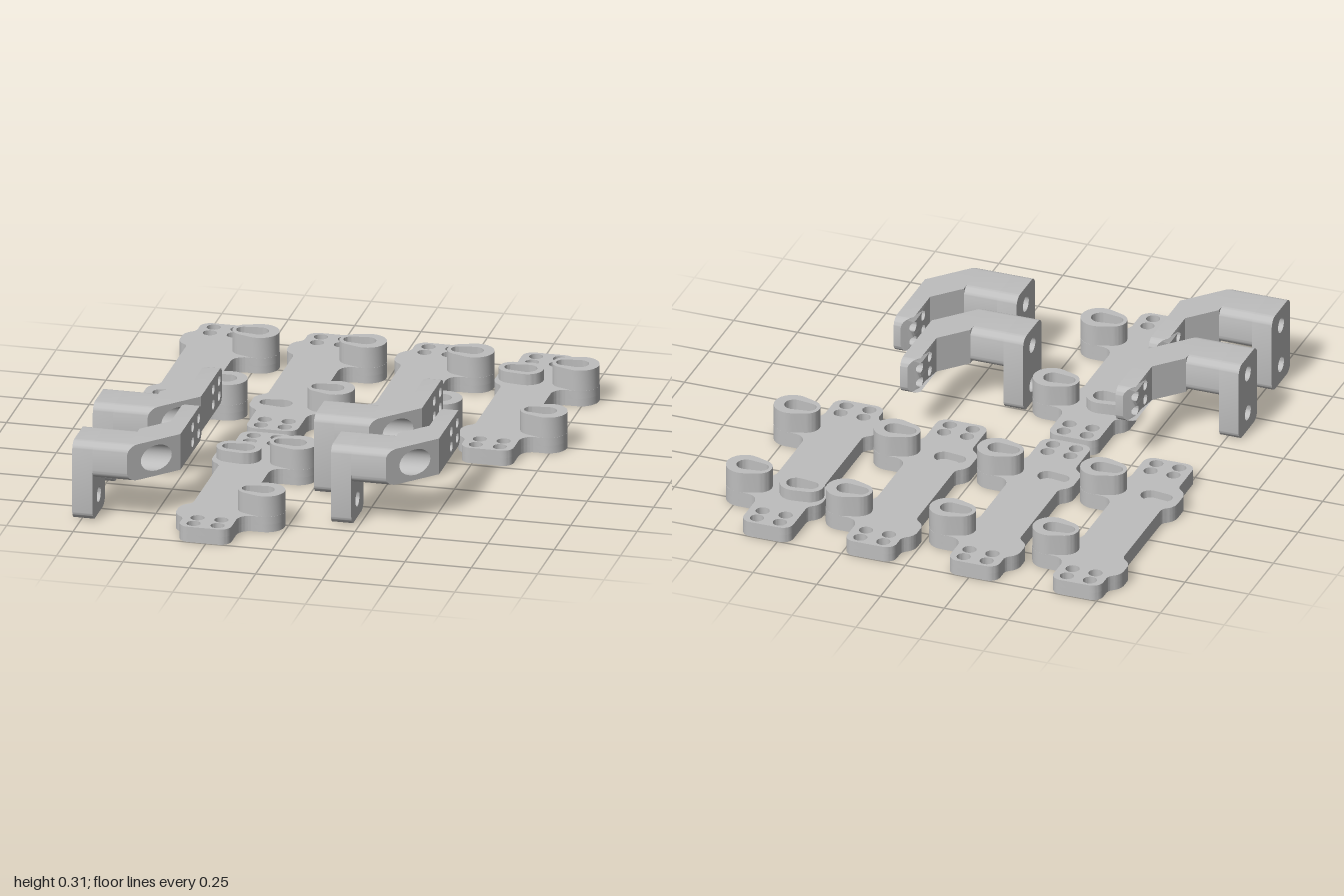
import * as THREE from 'three';
import { toCreasedNormals } from 'three/addons/utils/BufferGeometryUtils.js';

const grey = new THREE.MeshStandardMaterial({ color: 0xbebebe });
grey.name = 'grey';

// Polygon from [x, y, cornerRadius] points
function roundedPoly(points) {
  const shape = new THREE.Shape();
  const n = points.length;
  points.forEach(([x, y, r = 0], i) => {
    const p = new THREE.Vector2(x, y);
    const toward = (q, d) => p.clone().add(new THREE.Vector2(q[0], q[1]).sub(p).setLength(d));
    const prev = points[(i + n - 1) % n], next = points[(i + 1) % n];
    const a = r ? toward(prev, r) : p;
    if (i === 0) shape.moveTo(a.x, a.y); else shape.lineTo(a.x, a.y);
    if (r) {
      const b = toward(next, r), c = toward(prev, r * 0.45), d = toward(next, r * 0.45);
      shape.bezierCurveTo(c.x, c.y, d.x, d.y, b.x, b.y);
    }
  });
  shape.closePath();
  return shape;
}

// Egg outline around two circles on a line parallel to x
function egg(y, x1, r1, x2, r2) {
  const t = Math.acos((r1 - r2) / (x2 - x1));
  const shape = new THREE.Shape();
  shape.absarc(x2, y, r2, -t, t, false);
  shape.absarc(x1, y, r1, t, 2 * Math.PI - t, false);
  shape.closePath();
  return shape;
}

function circle(x, y, r) {
  const path = new THREE.Path();
  path.absarc(x, y, r, 0, Math.PI * 2, false);
  return path;
}

function addMesh(group, geometry, name) {
  const mesh = new THREE.Mesh(toCreasedNormals(geometry, 0.6), grey);
  mesh.name = name;
  group.add(mesh);
}

// Upright layer of a plan outline (shape y is -z)
function layer(group, name, shape, holes, y0, y1) {
  shape.holes = holes;
  const g = new THREE.ExtrudeGeometry(shape, { depth: y1 - y0, bevelEnabled: false, curveSegments: 10 });
  g.rotateX(-Math.PI / 2).translate(0, y0, 0);
  addMesh(group, g, name);
}

// Mounting plate with keyhole tabs; s = -1 swaps its two ends
function makePlate(s, raisedLeft) {
  const group = new THREE.Group();
  group.name = 'mountingPlate';
  const w = 0.097, h = 0.492, zLow = 0.225, zHigh = -0.26;
  const outline = () => {
    const pts = [[-w, -h, 0.04], [w, -h, 0.04]];
    // right tabs
    for (const z of [zHigh, zLow]) {
      pts.push([w, z - 0.1, 0.02], [0.125, z - 0.07, 0.02], [0.25, z - 0.07, 0.068],
        [0.25, z + 0.07, 0.068], [0.125, z + 0.07, 0.02], [w, z + 0.1, 0.02]);
    }
    pts.push([w, h, 0.04], [-w, h, 0.04]);
    // left tab and side bulge
    for (const [z, t] of [[zLow, 0.065], [-0.33, 0.055]]) {
      pts.push([-w, z + t + 0.02, 0.015], [-0.137, z + t - 0.012, 0.025],
        [-0.137, z - t + 0.012, 0.025], [-w, z - t - 0.02, 0.015]);
    }
    return roundedPoly(pts.map(([x, z, r]) => [x, -z * s, r]));
  };
  const screwHoles = [];
  for (const x of [-0.045, 0.045]) for (const z of [0.396, 0.454]) for (const e of [-1, 1])
    screwHoles.push(circle(x, z * e, 0.026));
  const yLow = -zLow * s, yHigh = -zHigh * s;
  const leftSlot = () => egg(yLow, -0.078, 0.028, -0.02, 0.036);
  const rightSlot = (y) => egg(y, 0.117, 0.028, 0.175, 0.036);

  layer(group, 'plateBase', outline(), [...screwHoles, circle(-0.078, yLow, 0.028),
    circle(0.117, yLow, 0.028), circle(0.117, yHigh, 0.028)], 0, 0.03);
  layer(group, 'plateTop', outline(), [...screwHoles, leftSlot(),
    rightSlot(yLow), rightSlot(yHigh)], 0.03, 0.06);
  for (const y of [yLow, yHigh])
    layer(group, 'tallKeyholeBoss', egg(y, 0.128, 0.053, 0.18, 0.07), [rightSlot(y)], 0.06, 0.14);
  if (raisedLeft)
    layer(group, 'lowKeyholeBoss', egg(yLow, -0.074, 0.053, -0.02, 0.06), [leftSlot()], 0.06, 0.103);
  return group;
}

// Prism along x between two end surfaces given as functions of z (shape x is -z)
function prism(group, name, shape, holes, start, end) {
  shape.holes = holes;
  const g = new THREE.ExtrudeGeometry(shape, { depth: 1, bevelEnabled: false, curveSegments: 12 });
  g.rotateY(Math.PI / 2);
  const p = g.attributes.position;
  for (let i = 0; i < p.count; i++) {
    const z = p.getZ(i);
    p.setX(i, THREE.MathUtils.lerp(start(z), end(z), p.getX(i)));
  }
  addMesh(group, g, name);
}

// Block profile from front z to back z, with corner radii for each end
const block = (zFront, zBack, y0, y1, rFront = 0, rBack = 0) => roundedPoly([
  [-zFront, y0, rFront], [-zBack, y0, rBack], [-zBack, y1, rBack], [-zFront, y1, rFront]]);

// Angled bracket: leg, arm, slanted elbow and drilled flange
function makeBracket() {
  const group = new THREE.Group();
  group.name = 'angledBracket';
  const at = (x) => () => x;
  const slope = (z0, x0, z1, x1) => (z) => x0 + (x1 - x0) * (z - z0) / (z1 - z0);
  const lo = 0.165, hi = 0.305, mid = 0.235, w = 0.094, r = 0.035, legX = 0.077;

  prism(group, 'leg', block(w, -w, 0, hi, r, r),
    [circle(0, 0.072, 0.03), circle(0, mid, 0.03)], at(0), at(legX));
  prism(group, 'arm', block(w, -w, lo, hi, r, r), [circle(0, mid, 0.03)], at(legX), at(0.207));
  // elbow with the wide bore opening on its slanted face
  prism(group, 'elbow', block(w, -0.078, lo, hi, r, 0), [circle(0, mid, 0.05)],
    at(0.207), slope(w, 0.207, -0.078, 0.365));
  prism(group, 'elbowBack', block(-0.078, -w, lo, hi), [], at(0.207), at(0.365));
  prism(group, 'elbowTaper', block(-w, -0.195, lo, hi), [], slope(-w, 0.207, -0.195, 0.3), at(0.365));
  // flange with four screw holes and a chamfered, rounded tip
  const holes = [];
  for (const z of [0.264, 0.353]) for (const y of [0.204, 0.263]) holes.push(circle(z, y, 0.02));
  const flange = roundedPoly([[0.195, lo], [0.36, lo], [0.397, lo, 0.034],
    [0.397, hi, 0.034], [0.36, hi], [0.195, hi]]);
  prism(group, 'flange', flange, holes, (z) => 0.3 + Math.max(0, -0.36 - z), at(0.365));
  return group;
}

export function createModel() {
  const model = new THREE.Group();
  model.name = 'bracketAndPlateSet';
  // [x, z, end direction, raised left keyhole]
  for (const [x, z, s, raised] of [
    [-0.664, -0.508, 1, false], [-0.26, -0.508, 1, false], [0.145, -0.508, 1, false],
    [0.55, -0.508, -1, true], [-0.26, 0.508, -1, true]]) {
    const plate = makePlate(s, raised);
    plate.position.set(x, 0, z);
    model.add(plate);
  }
  for (const [x, z] of [[-0.8, 0.407], [-0.782, 0.79], [0.012, 0.324], [0.146, 0.605]]) {
    const bracket = makeBracket();
    bracket.position.set(x, 0, z);
    model.add(bracket);
  }
  return model;
}
